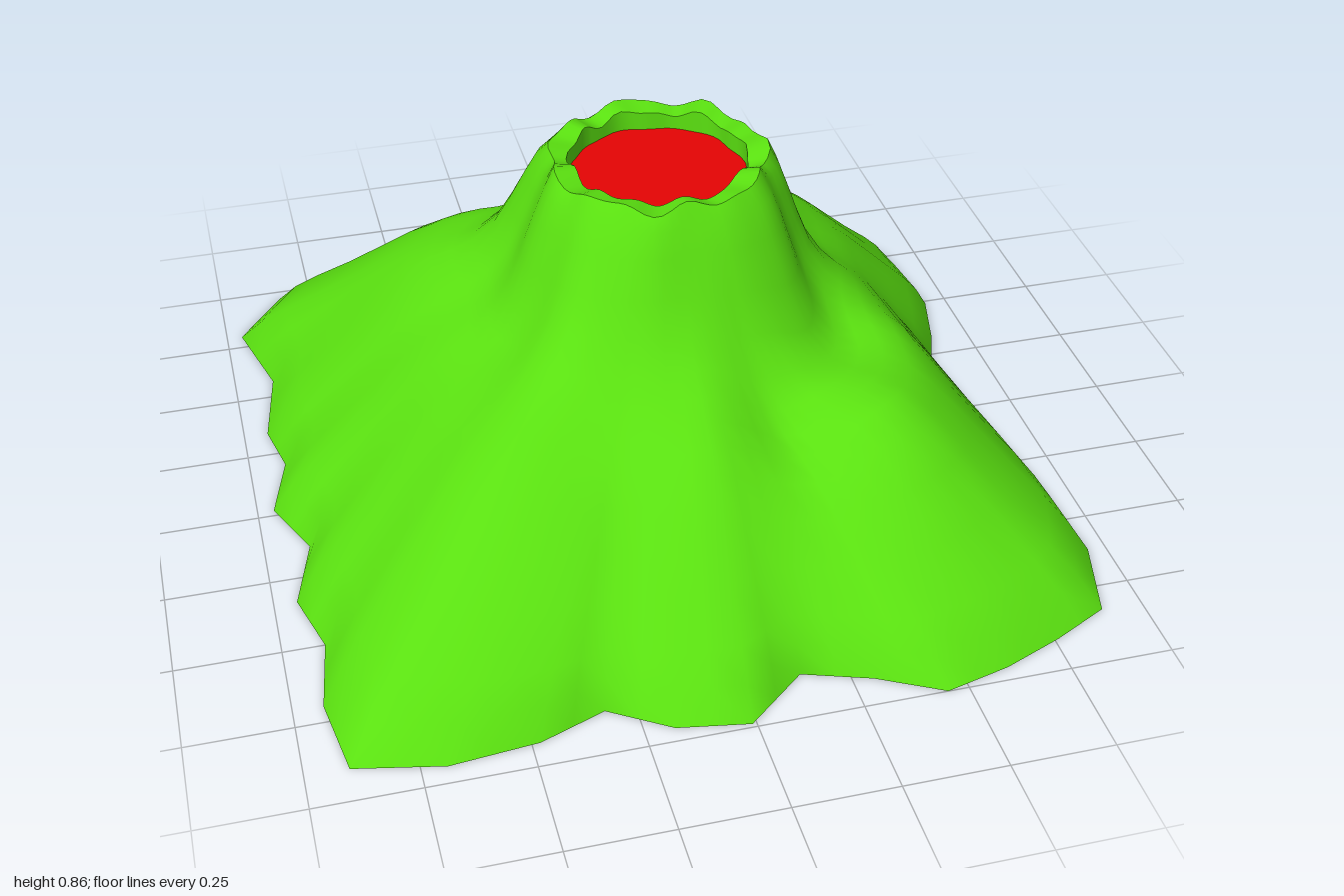
import * as THREE from 'three';

const CX = 0.052, CZ = -0.1; // crater axis

// Ragged base outline as x, z pairs
const OUTLINE = [
  -0.96, -0.8, -0.84, -0.96, -0.67, -0.99, -0.53, -0.91, -0.36, -0.94, -0.17, -0.89, 0, -0.86, 0.17, -0.93,
  0.35, -0.965, 0.46, -1, 0.6, -0.98, 0.82, -0.89, 0.91, -0.75, 0.94, -0.49, 0.9, -0.33, 0.84, -0.17,
  0.88, 0.05, 0.91, 0.23, 0.94, 0.42, 0.955, 0.62, 0.9, 0.83, 0.76, 0.9, 0.61, 0.96, 0.45, 1,
  0.3, 0.92, 0.14, 0.865, -0.01, 0.99, -0.18, 0.96, -0.32, 0.87, -0.48, 0.93, -0.69, 0.95, -0.9, 0.905,
  -0.93, 0.7, -0.9, 0.5, -0.945, 0.335, -0.89, 0.14, -0.96, -0.02, -0.91, -0.2, -0.94, -0.34, -0.9, -0.57,
];
// Slope profiles: distance from rim to base, height on a ridge, height in a gully
const PROFILE = [
  [0, 0.85, 0.85], [0.035, 0.81, 0.79], [0.07, 0.755, 0.72], [0.12, 0.67, 0.63], [0.17, 0.595, 0.55],
  [0.24, 0.535, 0.465], [0.31, 0.5, 0.4], [0.38, 0.47, 0.35], [0.46, 0.43, 0.305], [0.54, 0.38, 0.26],
  [0.64, 0.305, 0.21], [0.75, 0.22, 0.16], [0.87, 0.13, 0.095], [0.94, 0.07, 0.05], [1, 0, 0],
];
// Ridge strength every 15 degrees, from +x towards +z
const RIDGES = [0.75, 0.8, 0.9, 0.9, 0.85, 0.55, 0.75, 0.65, 0.6, 0.75, 0.65, 0.65,
  0.75, 0.85, 0.95, 1, 1, 0.9, 0.85, 0.9, 0.95, 0.95, 0.85, 0.75];
// Humps and hollows on the flanks: x, z, radius, height
const LUMPS = [
  [0.38, 0.22, 0.15, -0.1], [0.25, 0.42, 0.13, -0.06], [0.6, 0.15, 0.13, 0.03], [0.5, 0.55, 0.14, 0.04],
  [0, 0.58, 0.12, 0.03], [-0.35, 0.03, 0.12, -0.04], [-0.2, 0.62, 0.1, -0.02],
];

function ridgeAt(angle) {
  const n = RIDGES.length;
  const f = ((angle / (Math.PI * 2)) * n + n * 2) % n;
  const i = Math.floor(f), k = f - i, s = k * k * (3 - 2 * k);
  return RIDGES[i] * (1 - s) + RIDGES[(i + 1) % n] * s;
}

function lumpsAt(x, z) {
  return LUMPS.reduce((sum, [lx, lz, r, h]) => sum + h * Math.exp(-((x - lx) ** 2 + (z - lz) ** 2) / (r * r)), 0);
}

// Columns run round the axis, with one extra between outline corners
function makeColumns() {
  const columns = [], n = OUTLINE.length / 2;
  for (let i = 0; i < n; i++) {
    for (const k of [0, 0.5]) {
      const j = (i + 1) % n;
      const x = OUTLINE[i * 2] * (1 - k) + OUTLINE[j * 2] * k - CX;
      const z = OUTLINE[i * 2 + 1] * (1 - k) + OUTLINE[j * 2 + 1] * k - CZ;
      const a = Math.atan2(z, x);
      columns.push({
        a, reach: Math.hypot(x, z), ridge: ridgeAt(a),
        rim: 0.262 + 0.007 * Math.sin(a * 7 + 1) + 0.005 * Math.sin(a * 11),
        rimY: 0.843 + 0.008 * Math.sin(a * 8 + 2) + 0.006 * Math.sin(a * 13),
        lip: 0.215 + 0.004 * Math.sin(a * 6) + 0.003 * Math.sin(a * 11 + 2),
      });
    }
  }
  // Softened reach, so the ragged edge fades out up the slope
  columns.forEach((c, i) => {
    c.soft = 0;
    for (let d = -3; d <= 3; d++) c.soft += columns[(i + d + columns.length) % columns.length].reach / 7;
  });
  return columns;
}

// Joins closed rings, listed from the axis outwards; each row maps a column to [radius, y]
function loft(columns, rows) {
  const positions = [], index = [], n = columns.length;
  for (const row of rows) {
    for (const c of columns) {
      const [r, y] = row(c);
      positions.push(CX + Math.cos(c.a) * r, y, CZ + Math.sin(c.a) * r);
    }
  }
  for (let i = 0; i < rows.length - 1; i++) {
    for (let j = 0; j < n; j++) {
      const a = i * n + j, b = i * n + ((j + 1) % n);
      index.push(a, b, a + n, b, b + n, a + n);
    }
  }
  const geometry = new THREE.BufferGeometry();
  geometry.setAttribute('position', new THREE.Float32BufferAttribute(positions, 3));
  geometry.setIndex(index);
  geometry.computeVertexNormals();
  return geometry;
}

export function createModel() {
  const group = new THREE.Group();
  group.name = 'volcano';
  const grass = new THREE.MeshStandardMaterial({ color: 0x5ae010, side: THREE.DoubleSide });
  grass.name = 'grass green';
  const red = new THREE.MeshStandardMaterial({ color: 0xe60404, side: THREE.DoubleSide });
  red.name = 'lava red';
  const columns = makeColumns();
  const add = (name, rows, material) => {
    const mesh = new THREE.Mesh(loft(columns, rows), material);
    mesh.name = name;
    group.add(mesh);
  };

  // Open mountain shell with ridges, gullies and flank humps
  const slope = PROFILE.map(([t, high, low]) => (c) => {
    if (t === 0) return [c.rim, c.rimY];
    const flute = 0.008 * Math.sin(c.a * 9 + 0.7) * Math.sin(Math.PI * Math.min(1, t * 2));
    const reach = c.soft + (c.reach - c.soft) * t ** 3;
    const r = c.rim + (reach - c.rim) * t + flute;
    const fade = Math.min(1, t * 6, (1 - t) * 4);
    const lump = lumpsAt(CX + Math.cos(c.a) * r, CZ + Math.sin(c.a) * r) * fade;
    return [r, low + (high - low) * c.ridge + lump];
  });
  add('mountainSlopes', slope, grass);

  // Crater lip and inner wall
  add('craterLip', [(c) => [c.lip, c.rimY - 0.008], (c) => [c.rim, c.rimY]], grass);
  add('craterWall', [(c) => [c.lip, 0.785], (c) => [c.lip, c.rimY - 0.008]], grass);

  // Lava pool filling the crater
  add('lavaPool', [() => [0, 0.79], (c) => [c.lip, 0.79]], red);

  return group;
}
